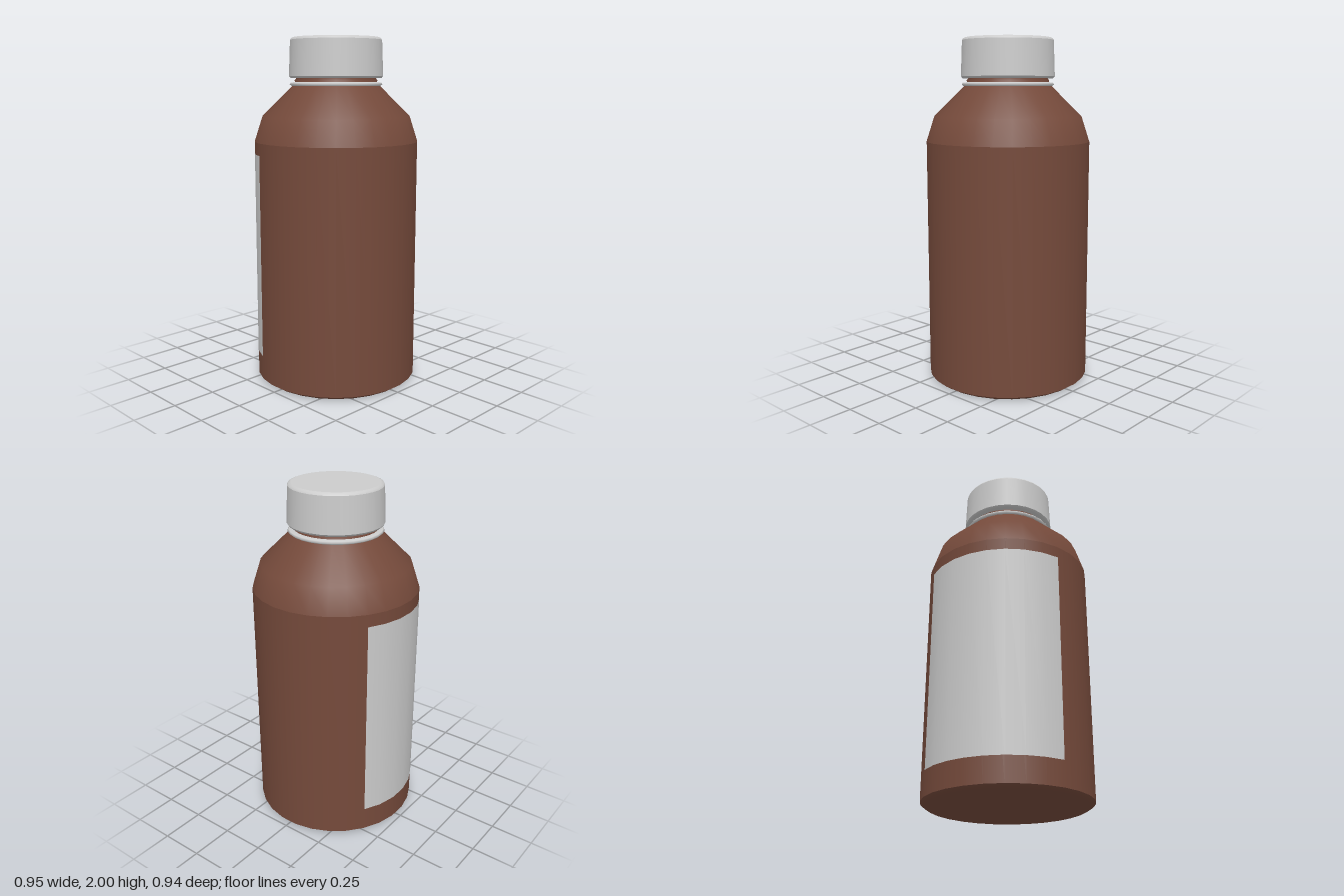
import * as THREE from 'three';

const SIDES = 28;
const STEP = (Math.PI * 2) / SIDES;

const brown = new THREE.MeshStandardMaterial({ color: 0x754a3b });
const grey = new THREE.MeshStandardMaterial({ color: 0xcccccc });
const labelGrey = new THREE.MeshStandardMaterial({ color: 0xcccccc, side: THREE.DoubleSide });

// Turns a [radius, height] profile, listed upward along the outside, about the y axis.
function turned(name, profile, material, firstStep = 0.5, steps = SIDES) {
  const points = profile.map(([r, y]) => new THREE.Vector2(r, y));
  const geometry = new THREE.LatheGeometry(points, steps, firstStep * STEP, steps * STEP);
  const mesh = new THREE.Mesh(geometry, material);
  mesh.name = name;
  return mesh;
}

export function createModel() {
  const model = new THREE.Group();
  model.name = 'bottle';

  // Bottle: separate sections keep the creases between them sharp
  const body = new THREE.Group();
  body.name = 'body';
  body.add(
    turned('base', [[0, 0.05], [0.18, 0.045], [0.22, 0.03], [0.4, 0.006], [0.445, 0], [0.475, 0.02]], brown),
    turned('wall', [[0.475, 0.02], [0.475, 1.41]], brown),
    turned('shoulder', [[0.475, 1.41], [0.428, 1.555], [0.255, 1.725]], brown),
    turned('neck', [[0.255, 1.725], [0.235, 1.745], [0.24, 1.758], [0.225, 1.775], [0.225, 1.95]], brown)
  );

  // Label wrapped around part of the wall
  const label = turned('label', [[0.477, 0.16], [0.477, 1.34]], labelGrey, -9.5, 8);

  // Thin sealing ring under the cap
  const ring = turned('sealRing', [
    [0.23, 1.727], [0.258, 1.727], [0.268, 1.735], [0.262, 1.745], [0.235, 1.749]
  ], grey);

  // Cap with a hollow underside
  const cap = new THREE.Group();
  cap.name = 'cap';
  cap.add(
    turned('capInside', [[0, 1.96], [0.235, 1.96], [0.235, 1.772]], grey),
    turned('capRim', [[0.235, 1.772], [0.262, 1.77], [0.272, 1.782]], grey),
    turned('capWall', [[0.272, 1.782], [0.264, 1.985]], grey),
    turned('capEdge', [[0.264, 1.985], [0.258, 1.995], [0.245, 2]], grey),
    turned('capTop', [[0.245, 2], [0, 2]], grey)
  );

  model.add(body, label, ring, cap);
  return model;
}
